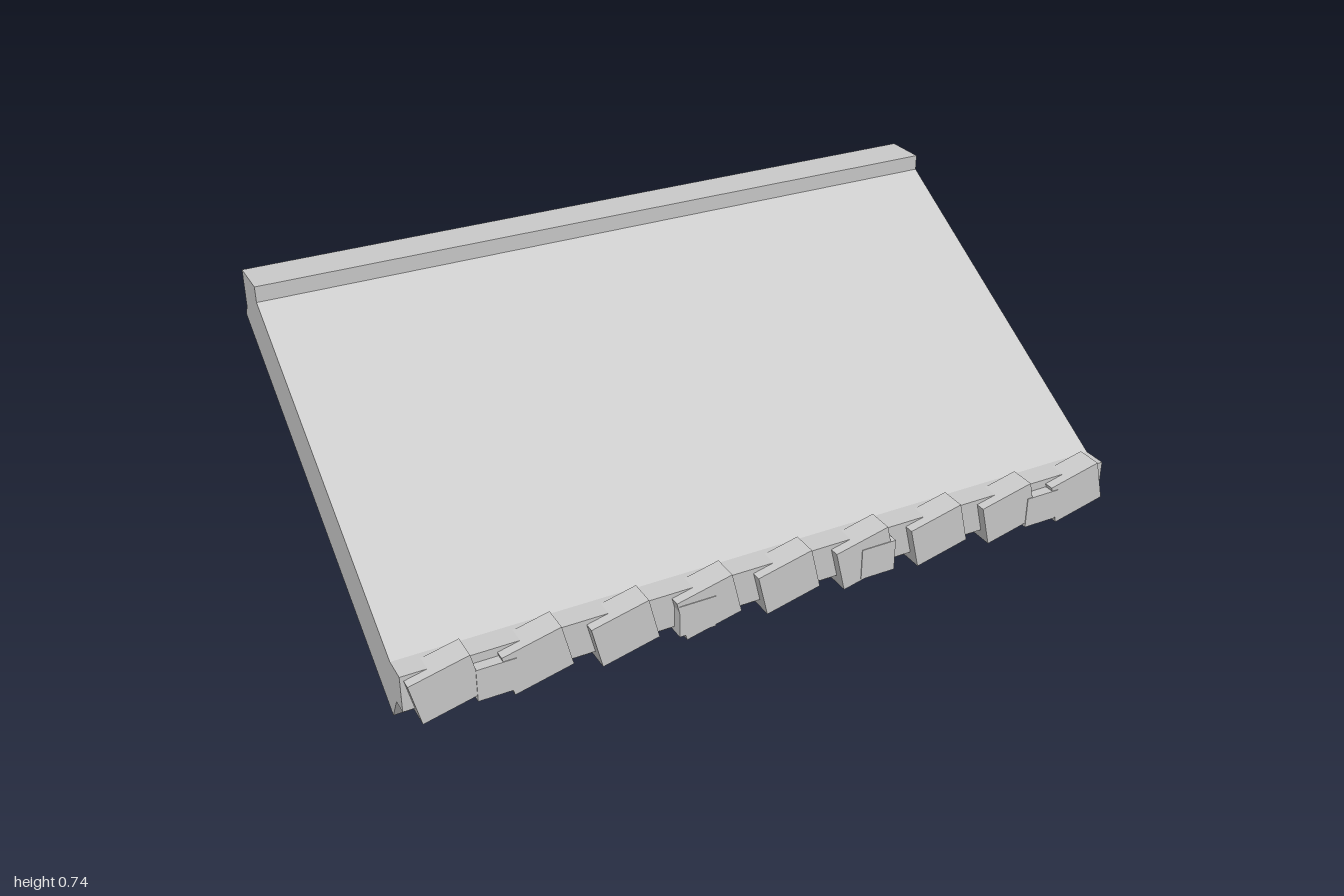
import * as THREE from 'three';

const material = new THREE.MeshStandardMaterial({ color: 0xcccccc, flatShading: true });

function addBox(parent, name, size, position, tilt = 0) {
  const mesh = new THREE.Mesh(new THREE.BoxGeometry(...size), material);
  mesh.name = name;
  mesh.position.set(...position);
  mesh.rotation.z = tilt;
  parent.add(mesh);
}

export function createModel() {
  const group = new THREE.Group();
  group.name = 'slopedRoof';

  // Sloping slab with its eave lip and ridge beam, as one side profile of (z, y)
  const profile = [
    [0.446, 0], [0.484, 0.067], [0.526, 0.067], [0.526, 0.165], [0.463, 0.165],
    [-0.416, 0.692], [-0.416, 0.735], [-0.535, 0.735], [-0.535, 0.632], [-0.555, 0.602],
  ];
  const shape = new THREE.Shape(profile.map(([z, y]) => new THREE.Vector2(-z, y)));
  const geometry = new THREE.ExtrudeGeometry(shape, { depth: 2, bevelEnabled: false });
  geometry.translate(0, 0, -1);
  geometry.rotateY(Math.PI / 2); // shape x becomes -z, extrusion runs along x
  const slab = new THREE.Mesh(geometry, material);
  slab.name = 'roofSlab';
  group.add(slab);

  // Row of tilted tile ends along the eave
  const tiles = new THREE.Group();
  tiles.name = 'eaveTiles';
  for (let i = 0; i < 9; i++) {
    addBox(tiles, 'eaveTile', [0.155, 0.118, 0.07], [-0.902 + i * 0.225, 0.112, 0.517], 0.235);
  }
  group.add(tiles);

  // Rafter ends running through the eave and out below the slab
  const rafters = new THREE.Group();
  rafters.name = 'rafterEnds';
  for (const x of [-0.78, -0.26, 0.26, 0.78]) {
    addBox(rafters, 'rafterEnd', [0.1, 0.088, 0.257], [x, 0.097, 0.4255]);
  }
  group.add(rafters);

  return group;
}
